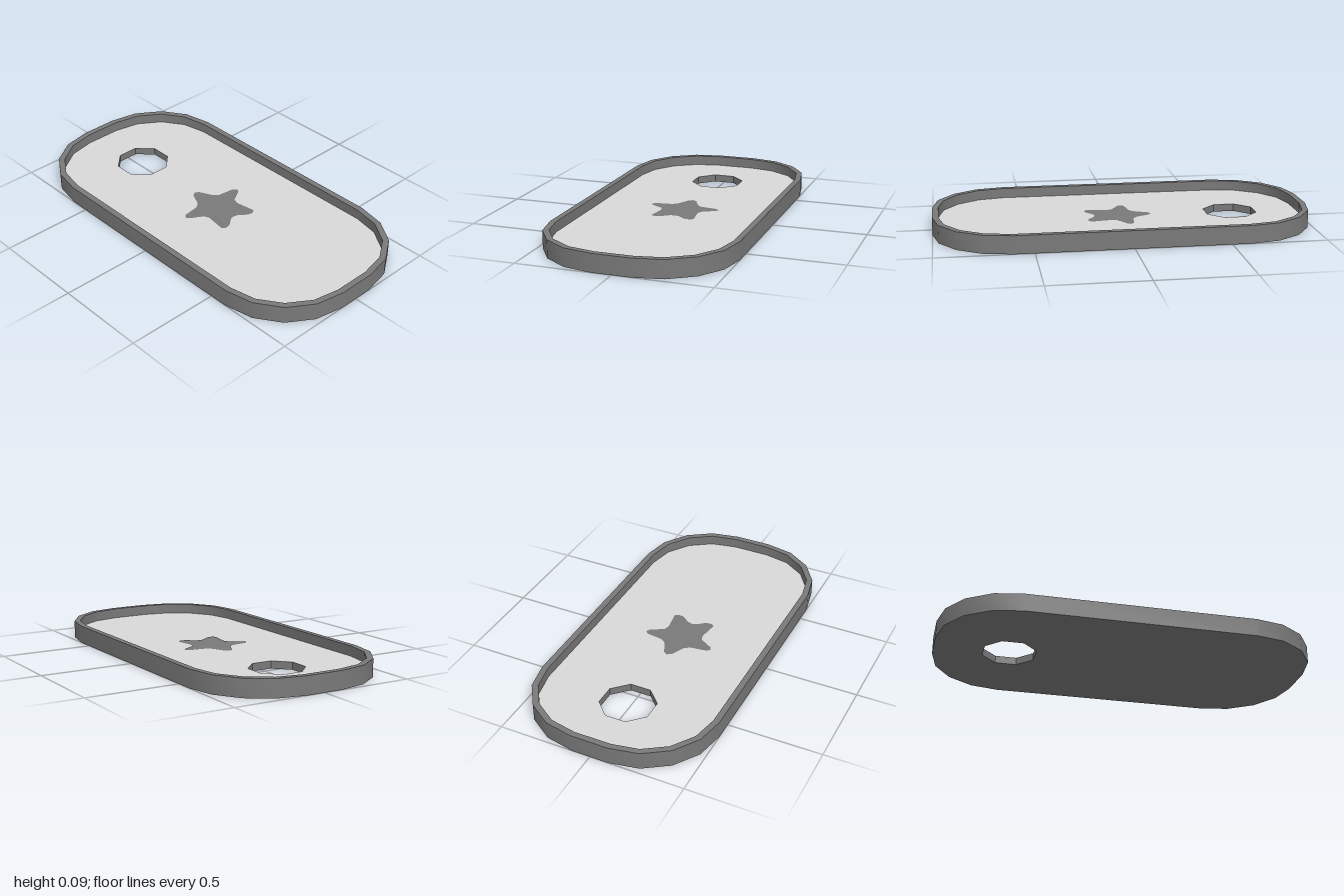
import * as THREE from 'three';
import { toCreasedNormals } from 'three/addons/utils/BufferGeometryUtils.js';

const HEIGHT = 0.095, FLOOR = 0.04;

// Rounded rectangle with four facets per corner, corner centres at (±0.6, ±0.1)
function outline(radius) {
  const pts = [];
  for (let q = 0; q < 4; q++) {
    const cx = q === 0 || q === 3 ? 0.6 : -0.6;
    const cy = q < 2 ? 0.1 : -0.1;
    for (let i = 0; i <= 4; i++) {
      const a = (q + i / 4) * Math.PI / 2;
      pts.push(new THREE.Vector2(cx + radius * Math.cos(a), cy + radius * Math.sin(a)));
    }
  }
  return pts;
}

// Octagonal hole with flat sides along the axes
function octagon() {
  const pts = [];
  for (let i = 0; i < 8; i++) {
    const a = (i + 0.5) * Math.PI / 4;
    pts.push(new THREE.Vector2(-0.605 + 0.147 * Math.cos(a), 0.147 * Math.sin(a)));
  }
  return pts;
}

function shapeWithHole(points, hole) {
  const shape = new THREE.Shape(points);
  if (hole) shape.holes.push(new THREE.Path(hole));
  return shape;
}

// Lay a shape flat, as a solid when depth is given
function slab(shape, depth) {
  const geo = depth
    ? toCreasedNormals(new THREE.ExtrudeGeometry(shape, { depth, bevelEnabled: false }), 0.5)
    : new THREE.ShapeGeometry(shape);
  return geo.rotateX(-Math.PI / 2);
}

export function createModel() {
  const group = new THREE.Group();
  const darkGrey = new THREE.MeshStandardMaterial({ color: 0x797979 });
  darkGrey.name = 'dark grey';
  const lightGrey = new THREE.MeshStandardMaterial({ color: 0xd8d8d8 });
  lightGrey.name = 'light grey';

  const add = (name, geo, mat, y = 0) => {
    const mesh = new THREE.Mesh(geo, mat);
    mesh.name = name;
    mesh.position.y = y;
    group.add(mesh);
  };

  const outer = outline(0.4), inner = outline(0.367);

  // Raised wall, base plate and its light upper face
  add('rim', slab(shapeWithHole(outer, inner), HEIGHT), darkGrey);
  add('basePlate', slab(shapeWithHole(inner, octagon()), FLOOR), darkGrey);
  add('floorFace', slab(shapeWithHole(inner, octagon())), lightGrey, FLOOR + 0.001);

  // Soft five-armed star, mirrored across the long axis
  const half = [
    [-0.168, 0], [-0.155, 0.022], [-0.08, 0.058], [-0.06, 0.085], [-0.048, 0.175],
    [-0.03, 0.193], [-0.01, 0.18], [0.03, 0.112], [0.06, 0.102], [0.17, 0.118],
    [0.183, 0.1], [0.18, 0.07], [0.145, 0.025], [0.138, 0],
  ];
  const mirrored = half.slice(1, -1).reverse().map(([x, y]) => [x, -y]);
  const star = [...half, ...mirrored].map(([x, y]) => new THREE.Vector2(x, y));
  add('star', slab(shapeWithHole(star)), darkGrey, FLOOR + 0.003);

  return group;
}
